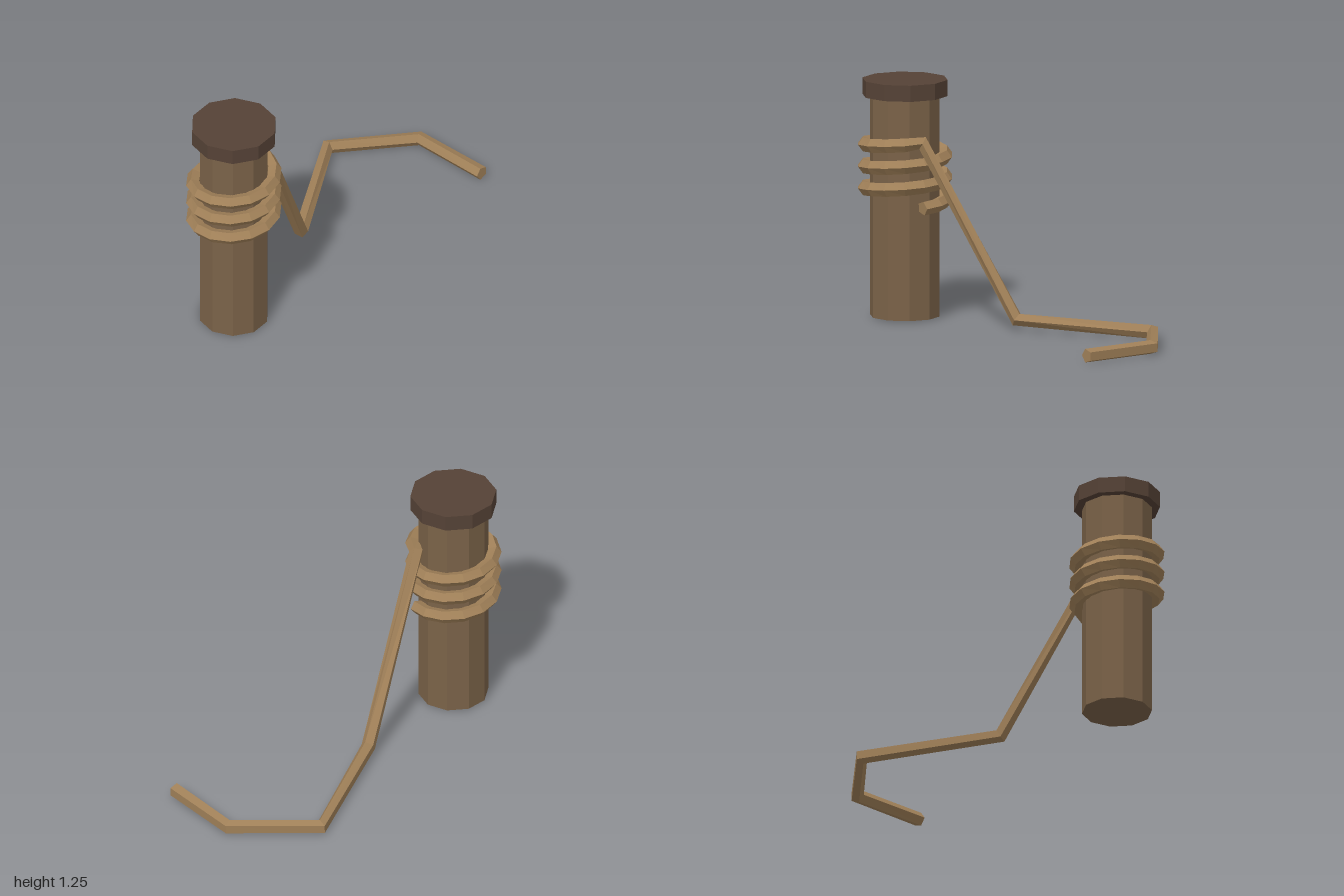
import * as THREE from 'three';

const SIDES = 5, ROPE_R = 0.038;
const CX = -0.75, CZ = 0.322;

function material(color) {
  return new THREE.MeshStandardMaterial({ color, flatShading: true });
}

// Sweep a pentagon along a polyline; one corner always points to the right of travel.
function ropeGeometry(path) {
  const up = new THREE.Vector3(0, 1, 0);
  const rings = path.map((p, i) => {
    const t = new THREE.Vector3();
    if (i > 0) t.add(p.clone().sub(path[i - 1]).normalize());
    if (i < path.length - 1) t.add(path[i + 1].clone().sub(p).normalize());
    t.normalize();
    const right = t.clone().cross(up).normalize();
    const lift = right.clone().cross(t);
    return Array.from({ length: SIDES }, (_, j) => {
      const a = (j / SIDES) * Math.PI * 2;
      return p.clone()
        .addScaledVector(right, Math.cos(a) * ROPE_R)
        .addScaledVector(lift, Math.sin(a) * ROPE_R);
    });
  });
  const tris = [];
  for (let i = 0; i < rings.length - 1; i++) {
    for (let j = 0; j < SIDES; j++) {
      const k = (j + 1) % SIDES, a = rings[i], b = rings[i + 1];
      tris.push(a[j], b[j], a[k], a[k], b[j], b[k]);
    }
  }
  // End caps
  const first = rings[0], last = rings[rings.length - 1];
  for (let j = 1; j < SIDES - 1; j++) {
    tris.push(first[0], first[j], first[j + 1]);
    tris.push(last[0], last[j + 1], last[j]);
  }
  const geometry = new THREE.BufferGeometry().setFromPoints(tris);
  geometry.computeVertexNormals();
  return geometry;
}

export function createModel() {
  const model = new THREE.Group();
  model.name = 'mooringPost';

  const add = (name, geometry, color) => {
    const mesh = new THREE.Mesh(geometry, material(color));
    mesh.name = name;
    model.add(mesh);
    return mesh;
  };

  // Ten-sided post and its wider cap
  add('post', new THREE.CylinderGeometry(0.183, 0.183, 1.16, 10), 0x7a6248)
    .position.set(CX, 0.585, CZ);
  add('postCap', new THREE.CylinderGeometry(0.225, 0.225, 0.085, 10), 0x554236)
    .position.set(CX, 1.2075, CZ);

  // Rope: three rising turns around the post, then a loose end on the ground
  const path = [];
  const turns = 3, steps = 14, coilR = 0.212, pitch = 0.115;
  for (let i = 0; i <= turns * steps; i++) {
    const a = (i / steps) * Math.PI * 2;
    path.push(new THREE.Vector3(
      CX + Math.cos(a) * coilR,
      0.6 + (pitch * i) / steps,
      CZ - Math.sin(a) * coilR));
  }
  path.push(
    new THREE.Vector3(-0.1, 0.06, -0.01),
    new THREE.Vector3(0.43, 0.037, -0.54),
    new THREE.Vector3(0.863, 0.037, -0.328),
    new THREE.Vector3(0.963, 0.037, 0.098));
  add('rope', ropeGeometry(path), 0xa08058);

  return model;
}
